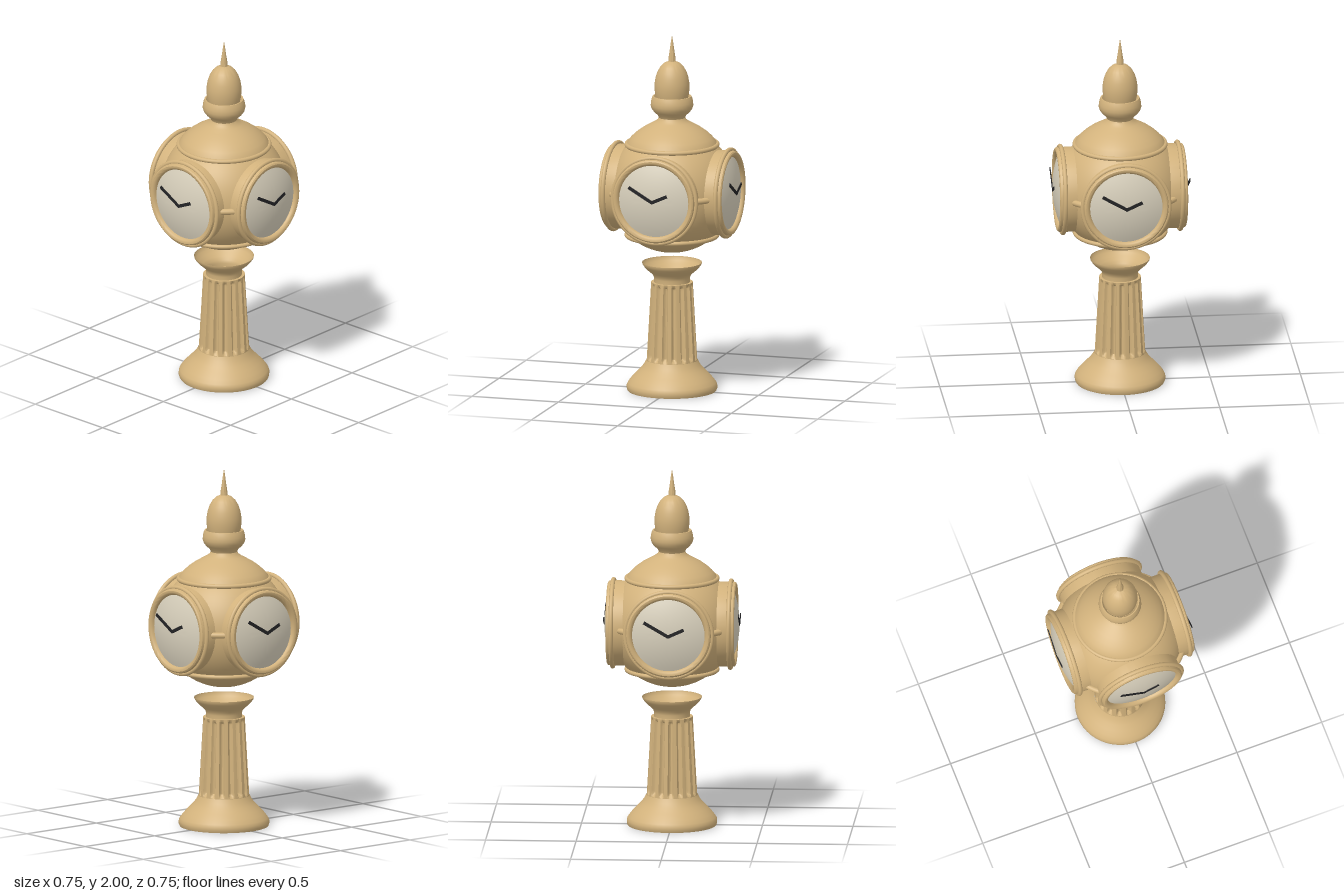
import * as THREE from 'three';
import { toCreasedNormals } from 'three/addons/utils/BufferGeometryUtils.js';

const brass = new THREE.MeshStandardMaterial({ name: 'brass', color: 0xd2b27c, side: THREE.DoubleSide });
const dialCream = new THREE.MeshStandardMaterial({ name: 'dialCream', color: 0xd8d0bc });
const handBlack = new THREE.MeshStandardMaterial({ name: 'handBlack', color: 0x232325 });

const CENTRE = 1.13; // height of the globe's centre

function part(parent, name, geometry, material = brass) {
  const mesh = new THREE.Mesh(geometry, material);
  mesh.name = name;
  parent.add(mesh);
  return mesh;
}

// Turned shape from [radius, height] pairs, listed bottom to top
function turned(points, segments = 48) {
  const profile = points.map(([r, y]) => new THREE.Vector2(r, y));
  return toCreasedNormals(new THREE.LatheGeometry(profile, segments), 0.6);
}

// Tapered shaft with round-ended grooves
function flutedShaft() {
  const y0 = 0.16, y1 = 0.61, rows = 40, flutes = 16;
  const profile = [];
  for (let i = 0; i <= rows; i++) {
    const t = i / rows;
    profile.push(new THREE.Vector2(0.14 - 0.025 * t, y0 + (y1 - y0) * t));
  }
  profile.push(new THREE.Vector2(0.085, y1));
  const geo = new THREE.LatheGeometry(profile, flutes * 10);
  const pos = geo.attributes.position;
  for (let i = 0; i < pos.count; i++) {
    const x = pos.getX(i), y = pos.getY(i), z = pos.getZ(i);
    if (Math.hypot(x, z) < 0.1) continue;
    const wave = Math.cos(Math.atan2(x, z) * flutes);
    const groove = Math.sqrt(Math.max(0, wave + 0.15) / 1.15);
    const ends = THREE.MathUtils.smoothstep(y, 0.17, 0.195) * (1 - THREE.MathUtils.smoothstep(y, 0.585, 0.605));
    const k = 1 - 0.15 * groove * ends;
    pos.setXYZ(i, x * k, y, z * k);
  }
  return toCreasedNormals(geo, 0.6);
}

function clock() {
  const group = new THREE.Group();
  const toFront = (geo) => geo.rotateX(Math.PI / 2);

  // Drum with a rolled rim, and the bead around it
  part(group, 'clockDrum', toFront(turned([
    [0.235, 0.24], [0.235, 0.34], [0.232, 0.35], [0.225, 0.355], [0.216, 0.355],
    [0.208, 0.351], [0.202, 0.343], [0.2, 0.33]], 64)));
  part(group, 'clockBead', new THREE.TorusGeometry(0.24, 0.0125, 12, 64)).position.z = 0.325;

  // Bulging dial
  const dial = [];
  for (let i = 0; i <= 10; i++) {
    const r = 0.203 * (1 - i / 10);
    dial.push([r, 0.373 - r * r * 0.97]);
  }
  part(group, 'dial', toFront(turned(dial, 64)), dialCream);

  // Hands
  for (const [name, x, y] of [['longHand', -0.138, 0.08], ['shortHand', 0.09, 0.041]]) {
    const length = Math.hypot(x, y);
    const hand = part(group, name, new THREE.BoxGeometry(length, 0.018, 0.004).translate(length / 2 - 0.004, 0, 0), handBlack);
    hand.rotation.z = Math.atan2(y, x);
    hand.position.z = 0.374;
  }
  return group;
}

export function createModel() {
  const model = new THREE.Group();
  model.name = 'fourFacedClock';

  // Pedestal
  part(model, 'pedestalBase', turned([
    [0.245, 0], [0.25, 0.012], [0.25, 0.03], [0.243, 0.045], [0.225, 0.068], [0.2, 0.095],
    [0.175, 0.12], [0.155, 0.145], [0.142, 0.17]]));
  part(model, 'flutedColumn', flutedShaft());
  part(model, 'capital', turned([
    [0.1, 0.6], [0.098, 0.63], [0.103, 0.647], [0.118, 0.663], [0.138, 0.68], [0.154, 0.697],
    [0.164, 0.712], [0.165, 0.72]]));

  // Globe with its upper and lower beads
  part(model, 'globe', new THREE.SphereGeometry(0.35, 64, 40)).position.y = CENTRE;
  for (const side of [-1, 1]) {
    const bead = part(model, side > 0 ? 'upperBead' : 'lowerBead',
      new THREE.TorusGeometry(0.25, 0.0125, 12, 64).rotateX(Math.PI / 2));
    bead.position.y = CENTRE + side * 0.255;
  }

  // Four clocks, with a short curved bar between each pair
  for (let i = 0; i < 4; i++) {
    const face = clock();
    face.name = 'clock' + (i + 1);
    face.position.y = CENTRE;
    face.rotation.y = i * Math.PI / 2;
    model.add(face);

    const arc = Math.PI / 9;
    const bar = part(model, 'connectingBar',
      new THREE.TorusGeometry(0.357, 0.017, 12, 10, arc).rotateX(Math.PI / 2));
    bar.position.y = CENTRE;
    bar.rotation.y = i * Math.PI / 2 - Math.PI / 4 + arc / 2;
  }

  // Roof sweeping up into a cup
  part(model, 'roof', turned([
    [0.25, 1.385], [0.245, 1.4], [0.225, 1.425], [0.198, 1.45], [0.165, 1.474], [0.13, 1.494],
    [0.1, 1.51], [0.08, 1.524], [0.073, 1.537]]));
  part(model, 'finialCup', turned([
    [0.073, 1.537], [0.08, 1.552], [0.1, 1.57], [0.113, 1.588], [0.118, 1.606], [0.117, 1.625],
    [0.112, 1.645], [0.107, 1.657], [0.1, 1.657], [0.09, 1.64]], 32));

  // Egg-shaped finial and spike
  part(model, 'finialEgg', turned([
    [0.085, 1.63], [0.093, 1.665], [0.097, 1.7], [0.096, 1.73], [0.09, 1.765], [0.08, 1.795],
    [0.064, 1.823], [0.045, 1.842], [0.022, 1.853], [0, 1.856]]));
  part(model, 'spike', turned([[0.021, 1.84], [0.02, 1.87], [0.012, 1.92], [0.006, 1.965], [0, 2]], 10));

  return model;
}
